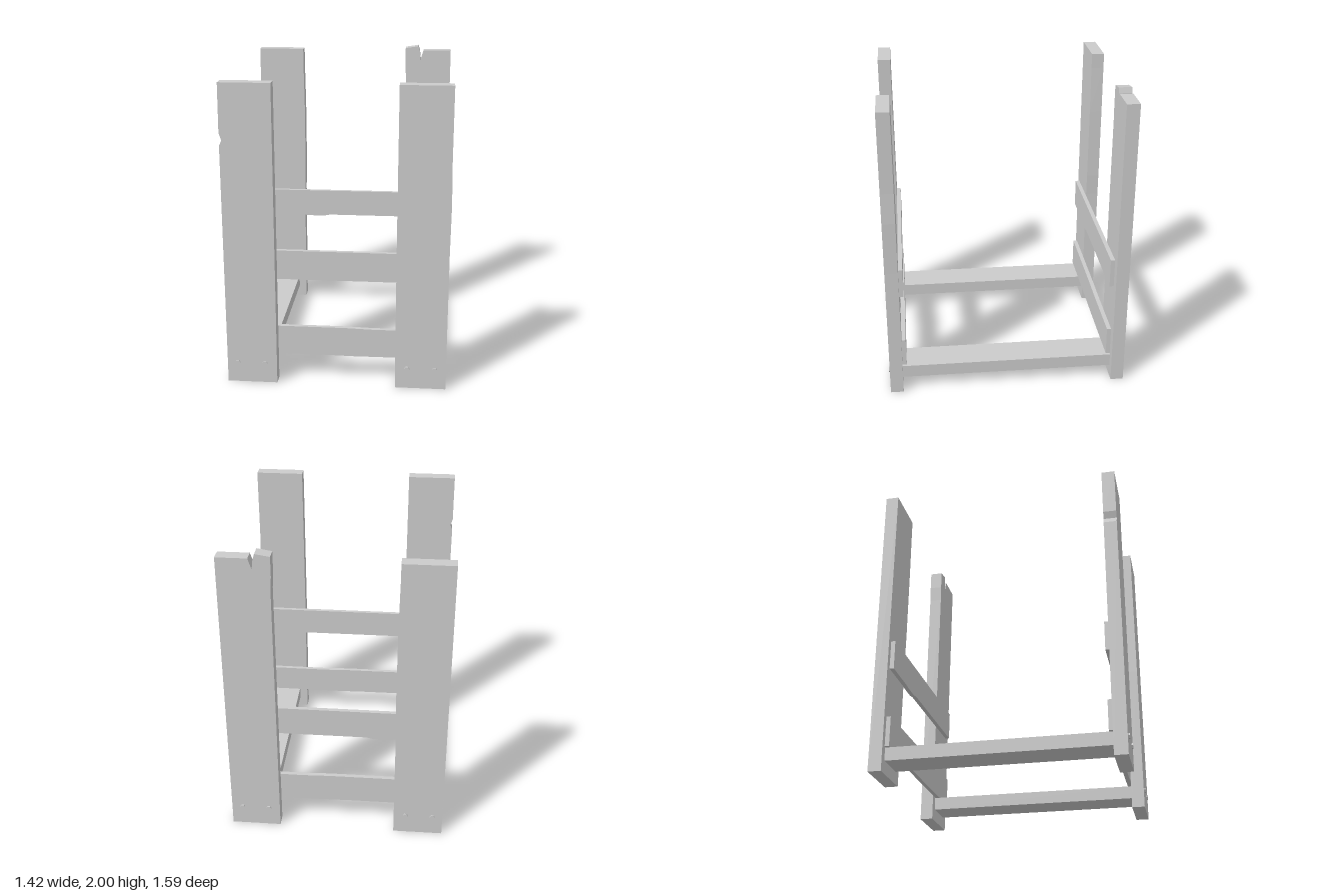
import * as THREE from 'three';

const material = new THREE.MeshStandardMaterial({ color: 0xcccccc, flatShading: true });

// A board cut from an x/y outline, running from z0 to z1
function board(name, outline, z0, z1) {
  const shape = new THREE.Shape(outline.map(([x, y]) => new THREE.Vector2(x, y)));
  const geometry = new THREE.ExtrudeGeometry(shape, { depth: z1 - z0, bevelEnabled: false });
  geometry.translate(0, 0, z0);
  const mesh = new THREE.Mesh(geometry, material);
  mesh.name = name;
  return mesh;
}

export function createModel() {
  const group = new THREE.Group();
  const inner = 0.703, outer = 0.788, railInner = 0.675;

  // Upright posts with worn edges, outlined counter-clockwise
  const frontRight = [[-0.71, 0], [-0.387, 0], [-0.387, 1.97], [-0.71, 1.97],
    [-0.712, 1.66], [-0.697, 1.615], [-0.712, 1.58]];
  const frontLeft = [[0.38, 0], [0.705, 0], [0.705, 0.9], [0.709, 1.25], [0.704, 1.45],
    [0.704, 1.97], [0.38, 1.97], [0.378, 1.0]];
  const backRight = [[-0.71, 0], [-0.387, 0], [-0.385, 0.9], [-0.38, 1.05], [-0.381, 1.55],
    [-0.387, 1.87], [-0.387, 1.97], [-0.71, 1.97]];
  const backLeft = [[0.38, 0], [0.704, 0], [0.704, 1.97], [0.508, 1.97], [0.486, 1.9],
    [0.478, 1.965], [0.467, 2], [0.374, 1.985], [0.374, 1.86], [0.38, 1.75]];
  group.add(
    board('frontRightPost', frontRight, inner, outer),
    board('frontLeftPost', frontLeft, inner, outer),
    board('backRightPost', backRight, -outer, -inner),
    board('backLeftPost', backLeft, -outer, -inner),
  );

  // Cross rails on the inner faces of the posts
  const lowerRail = [[-0.67, 0.17], [-0.1, 0.17], [0.1, 0.167], [0.64, 0.17],
    [0.64, 0.362], [0.23, 0.36], [0.05, 0.365], [-0.67, 0.365]];
  const upperRail = [[-0.67, 0.692], [0.64, 0.692], [0.64, 0.885], [-0.67, 0.885]];
  const chippedRail = [[-0.67, 0.692], [-0.39, 0.688], [-0.36, 0.683], [-0.24, 0.682], [-0.19, 0.692],
    [0.64, 0.692], [0.64, 0.885], [-0.67, 0.885]];
  group.add(
    board('frontLowerRail', lowerRail, railInner, inner),
    board('frontUpperRail', upperRail, railInner, inner),
    board('backLowerRail', lowerRail, -inner, -railInner),
    board('backUpperRail', chippedRail, -inner, -railInner),
  );

  // Long side beams joining front and back
  for (const [name, x0, x1] of [['rightBeam', -0.66, -0.44], ['leftBeam', 0.435, 0.65]]) {
    const beam = [[x0, 0.08], [x1, 0.08], [x1, 0.165], [x0, 0.165]];
    group.add(board(name, beam, -inner, inner));
  }

  // Hexagonal bolt heads at the foot of each post
  const boltGeometry = new THREE.CylinderGeometry(0.017, 0.017, 0.02, 6);
  boltGeometry.rotateY(Math.PI / 6);
  boltGeometry.rotateX(Math.PI / 2);
  for (const side of [-1, 1]) {
    for (const x of [-0.643, -0.465, 0.455, 0.633]) {
      const bolt = new THREE.Mesh(boltGeometry, material);
      bolt.name = 'bolt';
      bolt.position.set(x, 0.135, side * (outer - 0.002));
      group.add(bolt);
    }
  }
  return group;
}
